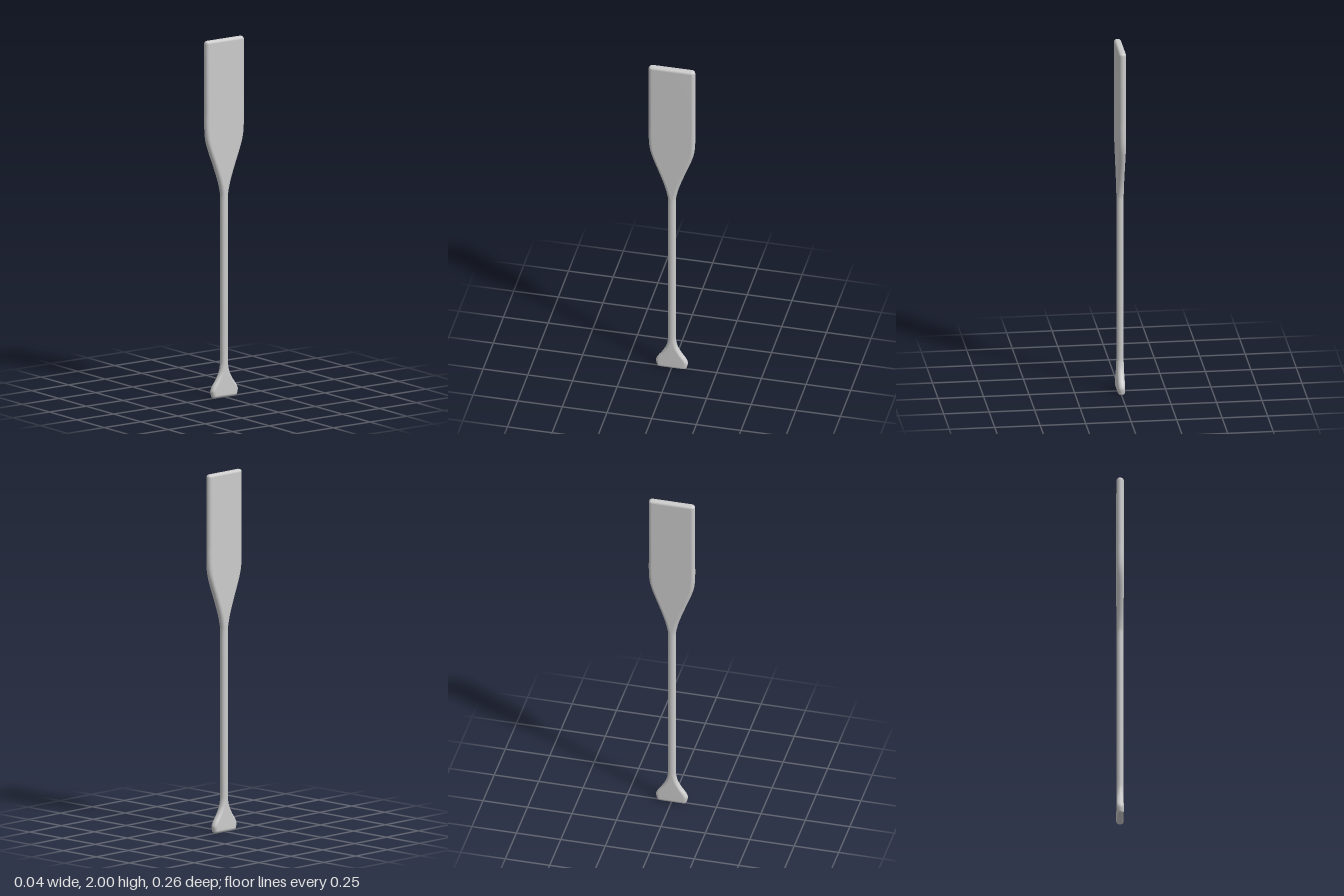
import * as THREE from 'three';

const HALF_THICK = 0.02;   // constant half thickness of the whole paddle
const END_R = 0.016;       // rounding radius of the two ends
const ARC = 14;            // segments per rounded edge

// Smooth list of rings {y, w, t} through [y, halfWidth] points
function rings(points, samples) {
  const curve = new THREE.CatmullRomCurve3(points.map(([y, w]) => new THREE.Vector3(w, y, 0)));
  return curve.getPoints(samples).map(p => ({ y: p.y, w: Math.max(p.x, 0.022), t: HALF_THICK }));
}

// Rings that round off an end: dir = 1 upward, -1 downward
function endRings(y, w, dir) {
  const list = [];
  for (let i = 0; i <= 8; i++) {
    const a = (i / 8) * Math.PI / 2;
    const inset = END_R * (1 - Math.cos(a));
    list.push({ y: y - dir * END_R * (1 - Math.sin(a)), w: w - inset, t: HALF_THICK - inset });
  }
  return dir > 0 ? list : list.reverse();
}

// Loft stadium-shaped cross-sections, bottom to top
function loft(list, capBottom, capTop) {
  const pos = [], idx = [], n = 2 * (ARC + 1);
  for (const { y, w, t } of list) {
    for (let side = 0; side < 2; side++) {
      for (let k = 0; k <= ARC; k++) {
        const a = -Math.PI / 2 + Math.PI * (side + k / ARC);
        pos.push(t * Math.sin(a), y, (side ? -1 : 1) * (w - t) + t * Math.cos(a));
      }
    }
  }
  for (let i = 0; i < list.length - 1; i++) {
    for (let j = 0; j < n; j++) {
      const a = i * n + j, b = i * n + (j + 1) % n;
      idx.push(a, b, a + n, b, b + n, a + n);
    }
  }
  const cap = (ring, top) => {
    const c = pos.length / 3, base = ring * n;
    pos.push(0, list[ring].y, 0);
    for (let j = 0; j < n; j++) {
      const a = base + j, b = base + (j + 1) % n;
      if (top) idx.push(c, a, b); else idx.push(c, b, a);
    }
  };
  if (capBottom) cap(0, false);
  if (capTop) cap(list.length - 1, true);
  const geo = new THREE.BufferGeometry();
  geo.setAttribute('position', new THREE.Float32BufferAttribute(pos, 3));
  geo.setIndex(idx);
  geo.computeVertexNormals();
  return geo;
}

export function createModel() {
  const group = new THREE.Group();
  group.name = 'paddle';
  const material = new THREE.MeshStandardMaterial({ color: 0xcccccc });
  const add = (name, geo) => {
    const mesh = new THREE.Mesh(geo, material);
    mesh.name = name;
    group.add(mesh);
  };

  // Flared grip at the foot of the shaft
  add('grip', loft([
    ...endRings(0, 0.085, -1),
    ...rings([[0.022, 0.087], [0.04, 0.089], [0.06, 0.081], [0.1, 0.053],
      [0.14, 0.032], [0.18, 0.023], [0.2, 0.022], [0.22, 0.022]], 36),
  ], true, false));

  // Straight shaft
  add('shaft', loft(rings([[0.22, 0.022], [1.1, 0.022]], 4), false, false));

  // Blade with sloping shoulders
  add('blade', loft([
    ...rings([[1.1, 0.022], [1.13, 0.0225], [1.19, 0.035], [1.24, 0.051], [1.31, 0.077],
      [1.38, 0.104], [1.43, 0.12], [1.47, 0.127], [1.53, 0.13], [1.6, 0.13]], 40),
    ...endRings(2, 0.13, 1),
  ], false, true));

  return group;
}
